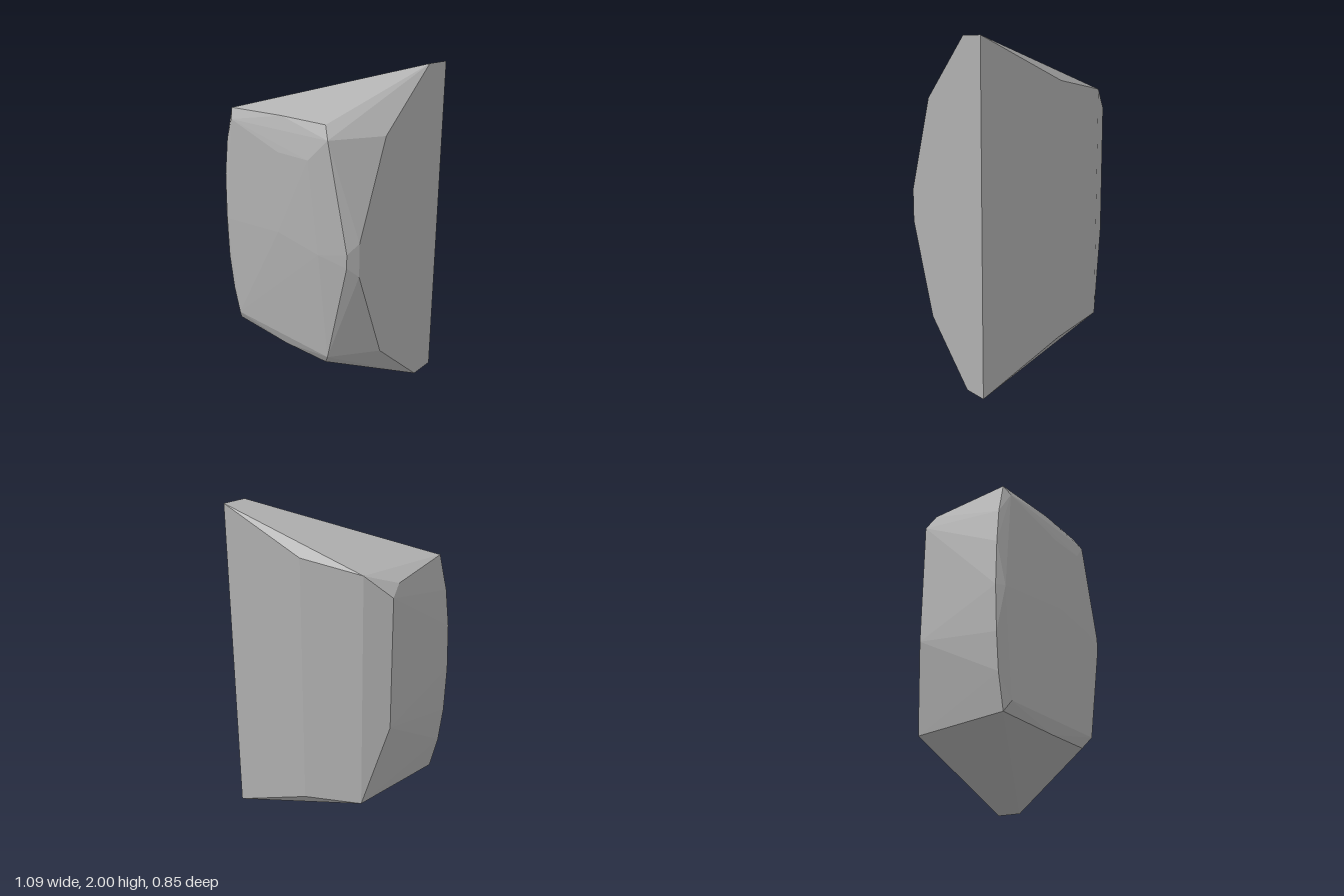
import * as THREE from 'three';
import { ConvexGeometry } from 'three/addons/geometries/ConvexGeometry.js';

export function createModel() {
  const stone = new THREE.MeshStandardMaterial({ color: 0xb0b0b0 });
  stone.name = 'stone grey';

  // Corners shared by the upper and lower halves: x, height above the middle, z
  const mirrored = [
    // flat right side
    [0.54, 1.0, -0.26], [0.54, 0.995, -0.425], [0.54, 0.66, 0.12], [0.54, 0.1, 0.33],
    // back panels
    [-0.02, 0.76, -0.405], [-0.39, 0.705, -0.315],
    // front rim
    [0.5, 0.04, 0.39], [0.36, 0.655, 0.39], [0.31, 0.725, 0.35], [-0.02, 0.725, 0.35],
    [-0.46, 0.705, 0.33], [-0.43, 0.645, 0.365],
    // bowed left edge
    [-0.51, 0.5, 0.335], [-0.535, 0.28, 0.34],
  ];

  // Corners found only once: x, y, z
  const single = [
    // left end of the back
    [-0.52, 1.585, -0.22], [-0.52, 0.81, -0.22], [-0.505, 1.65, -0.15],
    // swelling of the front and left side
    [0.32, 1.0, 0.425], [0.0, 1.05, 0.417], [-0.5, 1.0, 0.375], [-0.545, 1.0, 0.34],
    [0.24, 1.53, 0.417], [0.0, 1.53, 0.407],
  ];

  const corners = single.map((p) => new THREE.Vector3(...p));
  for (const [x, h, z] of mirrored) {
    corners.push(new THREE.Vector3(x, 1 + h, z), new THREE.Vector3(x, 1 - h, z));
  }

  // Faceted block
  const block = new THREE.Mesh(new ConvexGeometry(corners), stone);
  block.name = 'facetedStone';

  const group = new THREE.Group();
  group.name = 'stoneBlock';
  group.add(block);
  return group;
}
